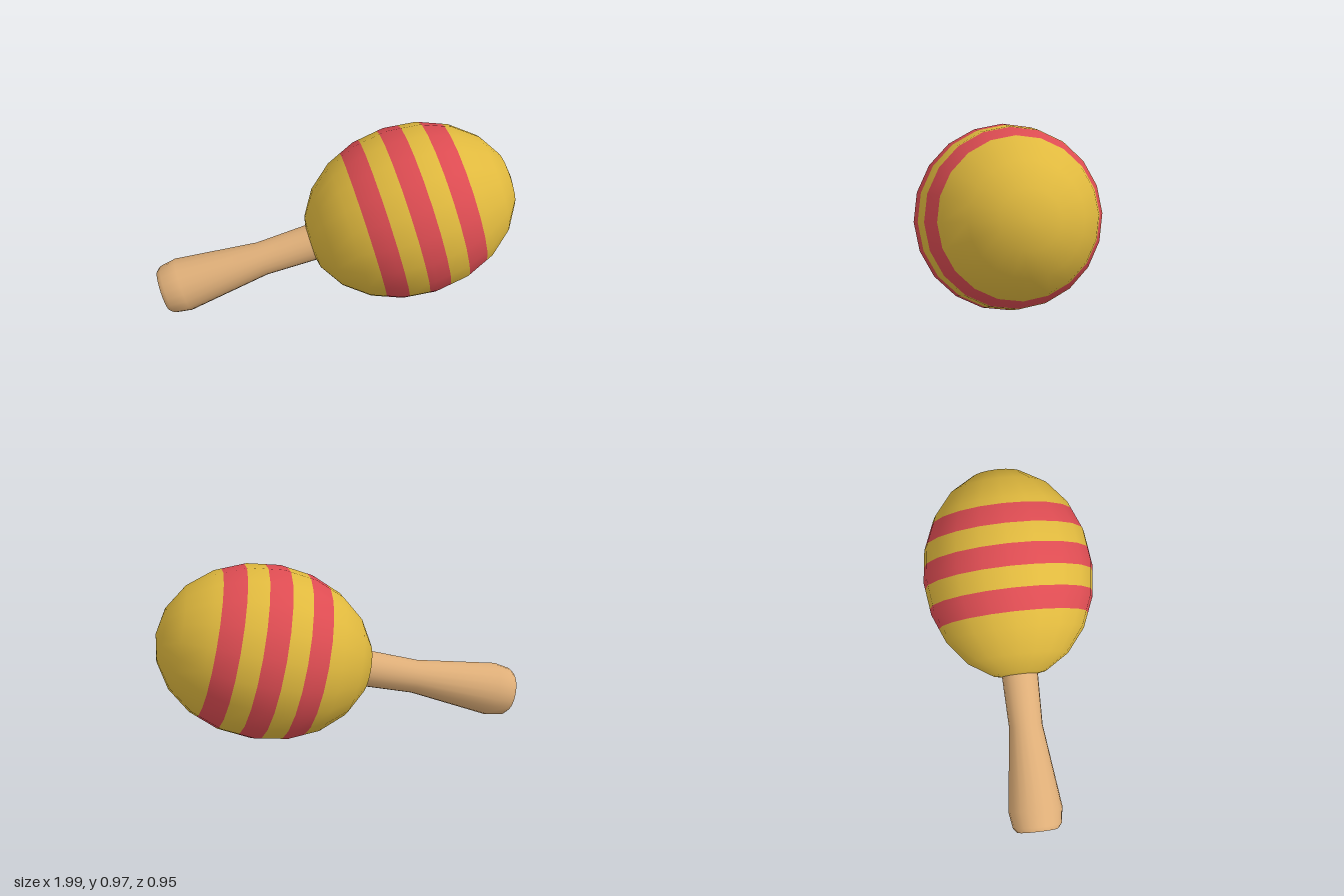
import * as THREE from 'three';

const SIDES = 20;
const HALF_LENGTH = 0.591; // head, along its axis
const RADIUS = 0.475;

const yellow = new THREE.MeshStandardMaterial({ color: 0xe0b93e });
yellow.name = 'yellow paint';
const red = new THREE.MeshStandardMaterial({ color: 0xdd4c52 });
red.name = 'red paint';
const wood = new THREE.MeshStandardMaterial({ color: 0xdeae78 });
wood.name = 'light wood';

function lathe(name, points, material) {
  const geometry = new THREE.LatheGeometry(points.map(([r, y]) => new THREE.Vector2(r, y)), SIDES);
  const mesh = new THREE.Mesh(geometry, material);
  mesh.name = name;
  return mesh;
}

// Rings of the egg-shaped head as [radius, height]
const rings = [];
for (let i = 0; i <= 10; i++) {
  const a = (i / 10 - 0.5) * Math.PI;
  rings.push([Math.max(0, RADIUS * Math.cos(a)), HALF_LENGTH * Math.sin(a)]);
}

// Point on the faceted profile at height y
function profileAt(y) {
  const i = Math.min(9, Math.max(0, rings.findIndex((p) => p[1] > y) - 1));
  const [r0, y0] = rings[i];
  const [r1, y1] = rings[i + 1];
  return [THREE.MathUtils.lerp(r0, r1, (y - y0) / (y1 - y0)), y];
}

// Slice of the head with smooth ellipsoid normals, so that slices meet without a seam
function headSlice(name, from, to, material) {
  const points = rings.filter((p) => p[1] > from && p[1] < to);
  points.unshift(from <= -HALF_LENGTH ? rings[0] : profileAt(from));
  points.push(to >= HALF_LENGTH ? rings[10] : profileAt(to));
  const mesh = lathe(name, points, material);
  const { position, normal } = mesh.geometry.attributes;
  const n = new THREE.Vector3();
  for (let i = 0; i < position.count; i++) {
    n.fromBufferAttribute(position, i);
    n.set(n.x / RADIUS ** 2, n.y / HALF_LENGTH ** 2, n.z / RADIUS ** 2).normalize();
    normal.setXYZ(i, n.x, n.y, n.z);
  }
  return mesh;
}

export function createModel() {
  const model = new THREE.Group();
  model.name = 'maraca';

  // Head: yellow with three red stripes
  const head = new THREE.Group();
  head.name = 'head';
  const cuts = [-HALF_LENGTH, -0.268, -0.15, -0.038, 0.082, 0.194, 0.31, HALF_LENGTH];
  for (let i = 0; i < cuts.length - 1; i++) {
    const striped = i % 2 === 1;
    head.add(headSlice(striped ? 'stripe' : 'shell', cuts[i], cuts[i + 1], striped ? red : yellow));
  }
  model.add(head);

  // Flared wooden handle with a flat end
  const handle = new THREE.Group();
  handle.name = 'handle';
  handle.add(
    lathe('grip', [[0.113, -1.425], [0.134, -1.4], [0.149, -1.31], [0.093, -0.855], [0.102, -0.5]], wood),
    lathe('gripEnd', [[0, -1.425], [0.113, -1.425]], wood),
  );
  model.add(handle);

  // Lying down: the head rests on the ground and the handle slopes to the right
  model.rotation.z = THREE.MathUtils.degToRad(-76);
  model.position.set(0.412, 0.487, 0);
  const root = new THREE.Group();
  root.add(model);
  return root;
}
